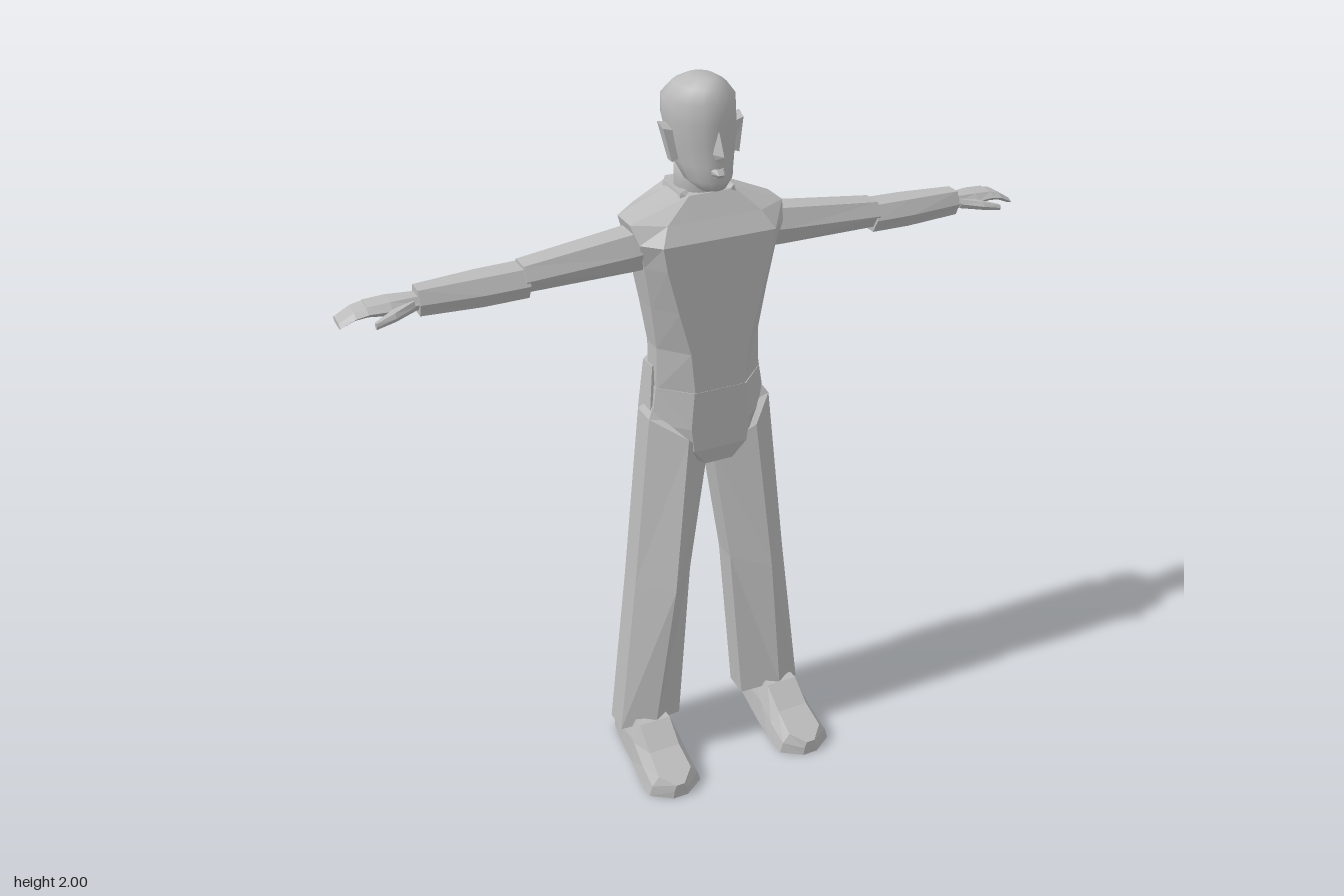
import * as THREE from 'three';

const grey = new THREE.MeshStandardMaterial({ color: 0xbababa });
grey.name = 'plain grey';

// Skin a row of equal-length rings of [x, y, z] points and close both ends.
function loft(name, rings, { side = 1, smooth = false } = {}) {
  const n = rings[0].length, pos = [], idx = [];
  const add = (p) => pos.push(p[0] * side, p[1], p[2]) / 3 - 1;
  rings.forEach((r) => r.forEach(add));
  for (let i = 0; i < rings.length - 1; i++) {
    for (let j = 0; j < n; j++) {
      const a = i * n + j, b = i * n + (j + 1) % n;
      idx.push(a, b, b + n, a, b + n, a + n);
    }
  }
  [0, rings.length - 1].forEach((e) => {
    const c = add([0, 1, 2].map((k) => rings[e].reduce((s, p) => s + p[k], 0) / n));
    for (let j = 0; j < n; j++) {
      const a = e * n + j, b = e * n + (j + 1) % n;
      if (e === 0) idx.push(c, b, a); else idx.push(c, a, b);
    }
  });
  // Turn the faces outward when the enclosed volume comes out negative.
  const v = (i) => new THREE.Vector3().fromArray(pos, i * 3);
  let volume = 0;
  for (let i = 0; i < idx.length; i += 3) {
    volume += v(idx[i]).dot(v(idx[i + 1]).cross(v(idx[i + 2])));
  }
  if (volume < 0) idx.reverse();
  let geo = new THREE.BufferGeometry();
  geo.setAttribute('position', new THREE.Float32BufferAttribute(pos, 3));
  geo.setIndex(idx);
  if (!smooth) geo = geo.toNonIndexed();
  geo.computeVertexNormals();
  const mesh = new THREE.Mesh(geo, grey);
  mesh.name = name;
  return mesh;
}

// Eight-sided level trunk section: front, side and back half-widths.
function trunkRing([y, fx, zf, sx, z1, z2, bx, zb]) {
  const half = [[fx, y, zf], [sx, y, z1], [sx, y, z2], [bx, y, zb]];
  return [...half, ...half.map(([x, h, z]) => [-x, h, z]).reverse()];
}

// Level oval section, narrower toward the front.
function ovalRing([y, w, zf, zb], n = 14) {
  return Array.from({ length: n }, (_, i) => {
    const a = (i / n) * Math.PI * 2, c = Math.cos(a);
    return [Math.sin(a) * w * (1 - 0.12 * c), y, (zf + zb) / 2 + c * (zf - zb) / 2];
  });
}

// Six-sided arm section at a given x.
function armRing([x, y0, y1, zb, zf]) {
  const m = (y0 + y1) / 2, c = (zf - zb) * 0.2;
  return [[x, y0, zb + c], [x, y0, zf - c], [x, m, zf], [x, y1, zf - c], [x, y1, zb + c], [x, m, zb]];
}

// Shoe section at a given z: sole width, narrower top.
function shoeRing([z, x0, x1, y0, y1, inset]) {
  const m = y0 + (y1 - y0) * 0.55;
  return [[x0, y0, z], [x1, y0, z], [x1 - inset * 0.3, m, z], [x1 - inset, y1, z],
    [x0 + inset, y1, z], [x0 + inset * 0.3, m, z]];
}

// Trouser section: front ridge, outer side, flat back, inner side.
function legRing(y, mid, out, inn, zf, zb) {
  return [[mid, y, zf], [out, y, -0.04], [out, y, -0.115], [mid + 0.045, y, zb],
    [mid - 0.045, y, zb], [inn, y, -0.115], [inn, y, -0.04]];
}

function createHead() {
  const head = new THREE.Group();
  head.name = 'head';
  head.add(loft('skull', [
    [1.736, 0.035, 0.012, -0.05], [1.76, 0.062, 0.02, -0.1], [1.8, 0.076, 0.018, -0.155],
    [1.85, 0.086, 0.015, -0.175], [1.9, 0.092, 0.016, -0.198], [1.95, 0.091, 0.01, -0.196],
    [1.982, 0.065, -0.008, -0.168], [2, 0.035, -0.035, -0.13],
  ].map((r) => ovalRing(r)), { smooth: true }));
  head.add(loft('neck', [[1.64, 0.064, -0.04, -0.165], [1.74, 0.062, -0.045, -0.16],
    [1.8, 0.062, -0.05, -0.16]].map((r) => ovalRing(r)), { smooth: true }));
  head.add(loft('nose', [
    [[-0.008, 1.885, 0.005], [0.008, 1.885, 0.005], [0, 1.885, 0.018]],
    [[-0.018, 1.83, 0.005], [0.018, 1.83, 0.005], [0, 1.832, 0.045]],
    [[-0.012, 1.812, 0.005], [0.012, 1.812, 0.005], [0, 1.814, 0.026]],
  ]));
  head.add(loft('lips', [1.772, 1.782, 1.794].map((y, i) => {
    const z = i === 1 ? 0.032 : 0.021;
    return [[-0.025, y, 0.005], [0.025, y, 0.005], [0.008, y, z], [-0.008, y, z]];
  })));
  for (const side of [1, -1]) {
    head.add(loft('ear', [
      [[0.07, 1.81, -0.058], [0.07, 1.875, -0.065], [0.07, 1.89, -0.095], [0.07, 1.81, -0.08]],
      [[0.092, 1.802, -0.058], [0.109, 1.885, -0.07], [0.112, 1.896, -0.1], [0.094, 1.805, -0.08]],
    ], { side }));
  }
  return head;
}

function createArm(side) {
  const arm = new THREE.Group();
  arm.name = side > 0 ? 'leftArm' : 'rightArm';
  const part = (name, rows) => arm.add(loft(name, rows.map(armRing), { side }));
  part('upperArm', [[0.14, 1.54, 1.65, -0.15, -0.02], [0.21, 1.54, 1.638, -0.135, -0.018],
    [0.495, 1.54, 1.608, -0.115, -0.02]]);
  part('forearm', [[0.485, 1.525, 1.6, -0.125, -0.018], [0.6, 1.522, 1.597, -0.125, -0.022],
    [0.755, 1.526, 1.592, -0.108, -0.035]]);
  part('hand', [[0.74, 1.54, 1.575, -0.1, -0.045], [0.82, 1.538, 1.573, -0.125, -0.04],
    [0.875, 1.543, 1.568, -0.13, -0.045]]);
  part('fingers', [[0.865, 1.543, 1.568, -0.13, -0.047], [0.905, 1.538, 1.558, -0.134, -0.05],
    [0.943, 1.522, 1.536, -0.132, -0.055]]);
  part('thumb', [[0.765, 1.542, 1.568, -0.075, -0.042], [0.82, 1.538, 1.56, -0.05, -0.012],
    [0.87, 1.533, 1.548, -0.02, -0.003]]);
  return arm;
}

function createLeg(side) {
  const leg = new THREE.Group();
  leg.name = side > 0 ? 'leftLeg' : 'rightLeg';
  // The waist end slopes up to the hip and the hem lifts over the instep.
  const top = legRing(1.02, 0.1, 0.178, 0.008, 0.042, -0.17);
  [1.07, 1.11, 1.11, 1.03, 1.0, 0.97, 0.97].forEach((y, i) => { top[i][1] = y; });
  const peak = top.map(([x, y, z]) => [0.15 + (x - 0.15) * 0.2, y + 0.035, -0.07 + (z + 0.07) * 0.35]);
  const hem = legRing(0.09, 0.203, 0.293, 0.105, 0.02, -0.175);
  hem[0][1] = 0.14;
  leg.add(loft('trouserLeg', [peak, top, legRing(0.6, 0.15, 0.232, 0.064, 0.055, -0.18), hem], { side }));
  leg.add(loft('shoe', [
    [-0.165, 0.16, 0.265, 0, 0.09, 0.01], [-0.07, 0.145, 0.28, 0.008, 0.11, 0.02],
    [0, 0.135, 0.285, 0.01, 0.14, 0.03], [0.02, 0.133, 0.287, 0.01, 0.138, 0.03],
    [0.09, 0.13, 0.293, 0.005, 0.088, 0.035], [0.165, 0.132, 0.293, 0, 0.06, 0.03],
    [0.205, 0.19, 0.235, 0, 0.045, 0.01],
  ].map(shoeRing), { side }));
  return leg;
}

export function createModel() {
  const model = new THREE.Group();
  model.name = 'figure';
  model.add(loft('torso', [
    [1.19, 0.072, 0.025, 0.15, -0.05, -0.11, 0.1, -0.178],
    [1.31, 0.083, 0.025, 0.148, -0.05, -0.11, 0.1, -0.165],
    [1.43, 0.115, 0.025, 0.165, -0.04, -0.12, 0.11, -0.2],
    [1.55, 0.145, 0.025, 0.185, -0.03, -0.13, 0.125, -0.2],
    [1.615, 0.155, 0.025, 0.2, -0.02, -0.13, 0.14, -0.2],
    [1.66, 0.13, -0.005, 0.212, -0.05, -0.13, 0.14, -0.2],
    [1.715, 0.055, -0.04, 0.075, -0.07, -0.13, 0.06, -0.18],
  ].map(trunkRing)));
  model.add(loft('pelvis', [
    [1.195, 0.075, 0.026, 0.152, -0.05, -0.12, 0.1, -0.18],
    [1.09, 0.085, 0.027, 0.166, -0.05, -0.13, 0.125, -0.192],
    [1.02, 0.077, 0.027, 0.125, -0.04, -0.14, 0.12, -0.2],
    [0.97, 0.04, 0.015, 0.055, -0.03, -0.1, 0.045, -0.13],
  ].map(trunkRing)));

  // Collar with a notch at the throat
  const collar = (w, zf, zb, y, dip) => [[0, y - dip, zf], [w, y, zf - 0.03], [w, y, zb + 0.03],
    [w * 0.75, y, zb], [-w * 0.75, y, zb], [-w, y, zb + 0.03], [-w, y, zf - 0.03]];
  model.add(loft('collar', [collar(0.085, -0.01, -0.19, 1.67, 0.01), collar(0.074, -0.02, -0.185, 1.722, 0.045)]));

  for (const side of [1, -1]) {
    // Raised pad over the side of each hip
    model.add(loft('hipPad', [
      [[0.1, 1.25, -0.07], [0.153, 1.25, -0.07], [0.153, 1.245, -0.13], [0.105, 1.245, -0.172]],
      [[0.1, 1.1, -0.05], [0.17, 1.1, -0.055], [0.17, 1.1, -0.135], [0.127, 1.1, -0.194]],
    ], { side }));
    model.add(createArm(side), createLeg(side));
  }
  model.add(createHead());
  return model;
}
